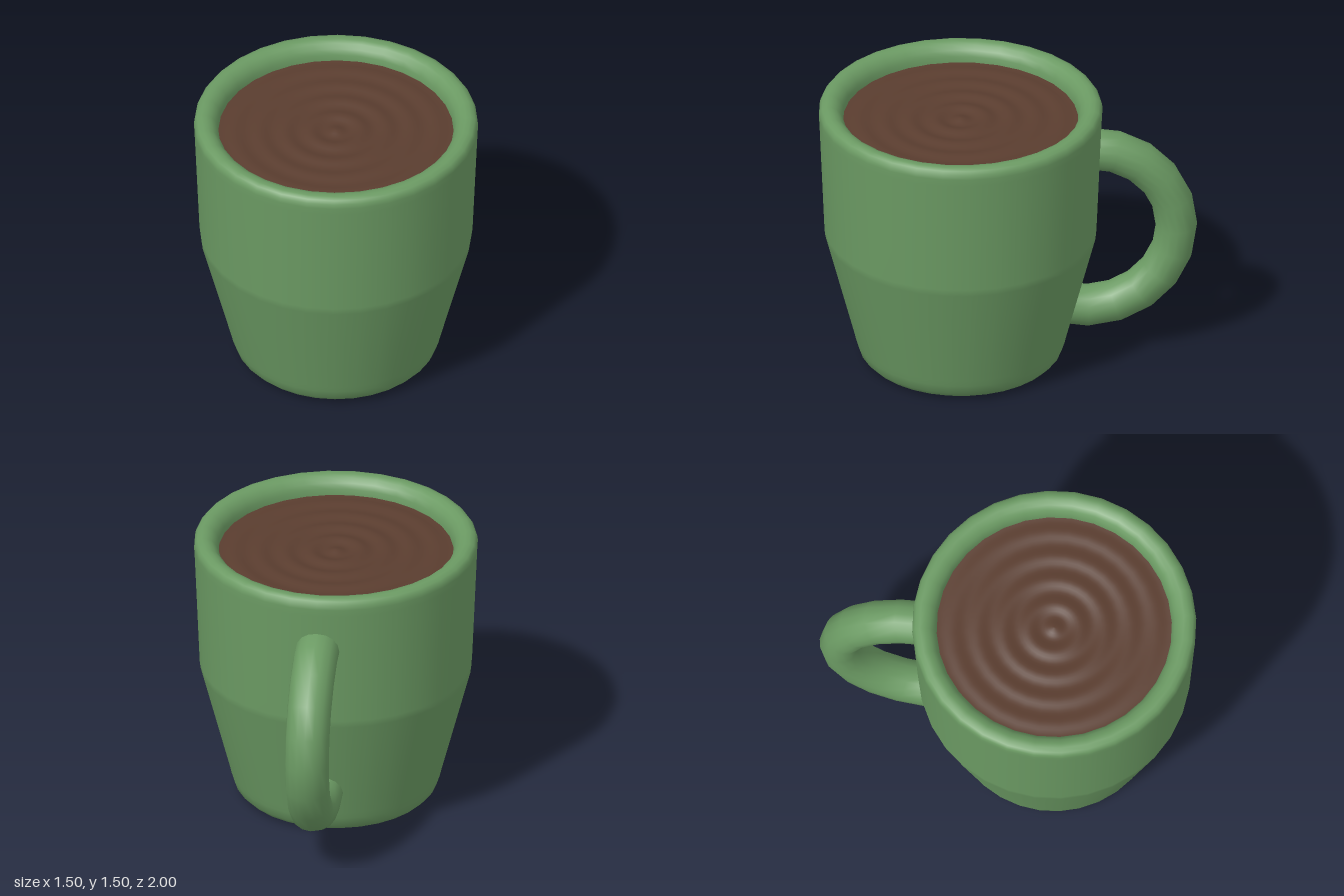
import * as THREE from 'three';

const CUP_Z = 0.25; // the cup sits forward to balance the handle
const SIDES = 32;

const green = new THREE.MeshStandardMaterial({ color: 0x6b9a63 });
const brown = new THREE.MeshStandardMaterial({ color: 0x5a3d2f });

function lathe(name, points, material) {
  const profile = points.map(([r, y]) => new THREE.Vector2(r, y));
  const mesh = new THREE.Mesh(new THREE.LatheGeometry(profile, SIDES), material);
  mesh.name = name;
  mesh.position.z = CUP_Z;
  return mesh;
}

export function createModel() {
  const mug = new THREE.Group();
  mug.name = 'mug';

  // Cup: outside from the base up, over the rounded rim, down the inside
  mug.add(lathe('cup', [
    [0, 0], [0.44, 0], [0.465, 0.003], [0.505, 0.018], [0.535, 0.05], [0.552, 0.1],
    [0.56, 0.135], [0.715, 0.73], [0.72, 0.77], [0.747, 1.41], [0.75, 1.45],
    [0.746, 1.475], [0.733, 1.493], [0.71, 1.503], [0.685, 1.502], [0.66, 1.492],
    [0.638, 1.47], [0.624, 1.44], [0.62, 1.4], [0.6, 0.77], [0.46, 0.15], [0.4, 0.1], [0, 0.1],
  ], green));

  // Drink: a disc with concentric ripples that fade towards the edge
  const ripples = [];
  const steps = 40, radius = 0.623;
  for (let i = 0; i <= steps; i++) {
    const r = radius * (1 - i / steps);
    const height = 0.007 * (1 - 0.6 * r / radius);
    ripples.push([r, 1.41 + height * Math.cos((r / 0.135) * Math.PI * 2)]);
  }
  mug.add(lathe('drink', ripples, brown));

  // Handle: part of a ring whose ends are buried in the cup wall
  const reach = THREE.MathUtils.degToRad(126);
  const ring = new THREE.TorusGeometry(0.47, 0.11, 16, 14, reach * 2);
  ring.rotateZ(-reach);
  ring.rotateY(Math.PI / 2);
  ring.scale(1.06, 1, 1);
  const handle = new THREE.Mesh(ring, green);
  handle.name = 'handle';
  handle.position.set(0, 0.735, -0.42);
  mug.add(handle);

  return mug;
}
